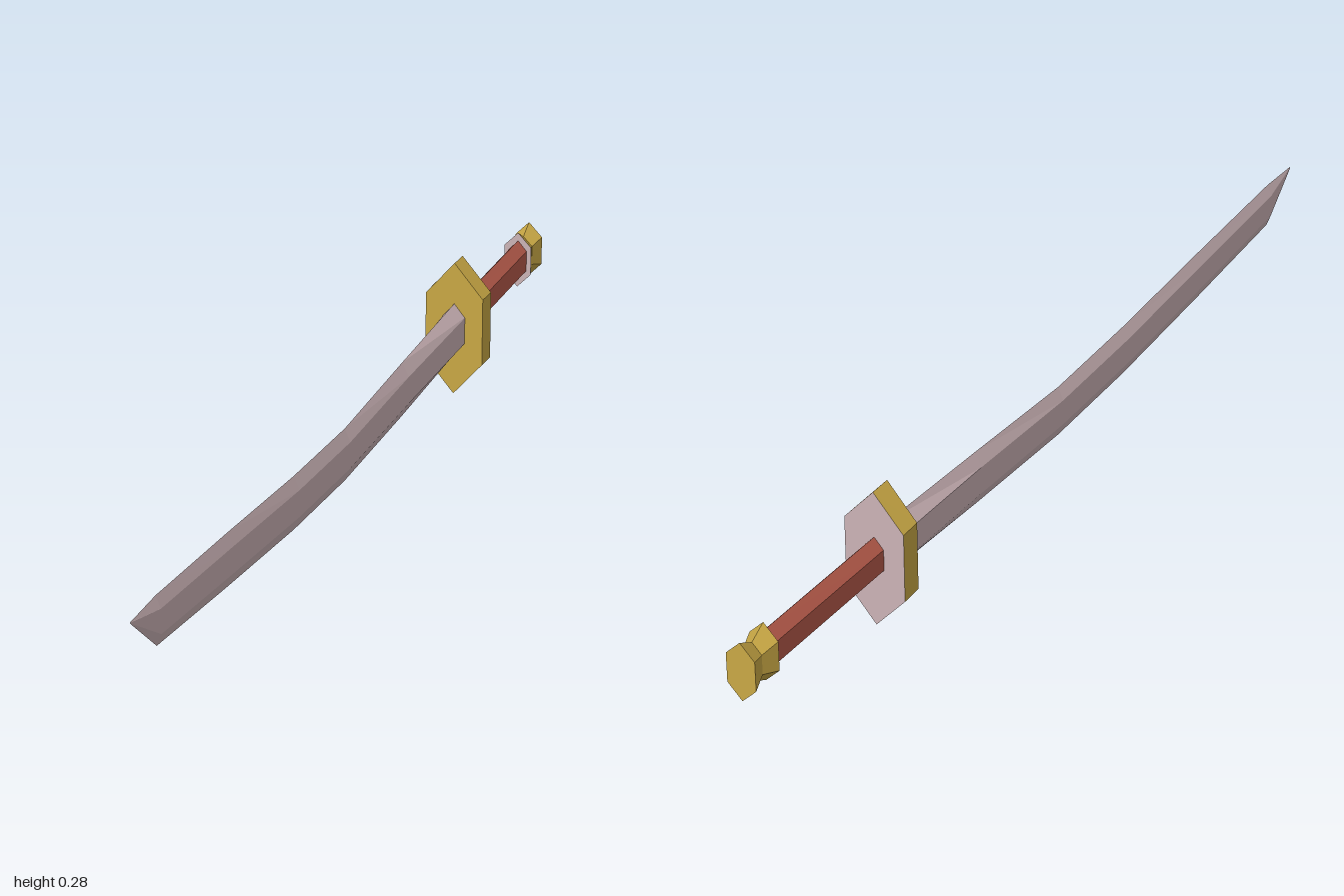
import * as THREE from 'three';

const STEEL = 0xcbb3b6, GOLD = 0xc9a845, RED = 0xb55a4a;

// Upright hexagon with a point at top and bottom; section = [z, yBottom, yTop, halfWidth]
function hexRing([z, y0, y1, w], shoulder) {
  const h = (y1 - y0) * shoulder;
  return [[0, y0], [w, y0 + h], [w, y1 - h], [0, y1], [-w, y1 - h], [-w, y0 + h]]
    .map(([x, y]) => [x, y, z]);
}

// Skin hexagonal sections listed from back (-z) to front (+z), with optional end caps
function loft(name, color, sections, { shoulder = 0.25, back = true, front = true } = {}) {
  const rings = sections.map((s) => hexRing(s, shoulder));
  const pos = [];
  const tri = (a, b, c) => pos.push(...a, ...b, ...c);
  for (let i = 0; i < rings.length - 1; i++) {
    for (let k = 0; k < 6; k++) {
      const n = (k + 1) % 6, r = rings[i], s = rings[i + 1];
      tri(r[k], r[n], s[n]);
      tri(r[k], s[n], s[k]);
    }
  }
  const first = rings[0], last = rings[rings.length - 1];
  for (let k = 1; k < 5; k++) {
    if (back) tri(first[0], first[k + 1], first[k]);
    if (front) tri(last[0], last[k], last[k + 1]);
  }
  const geo = new THREE.BufferGeometry();
  geo.setAttribute('position', new THREE.Float32BufferAttribute(pos, 3));
  geo.computeVertexNormals();
  const mesh = new THREE.Mesh(geo, new THREE.MeshStandardMaterial({ color, flatShading: true }));
  mesh.name = name;
  return mesh;
}

export function createModel() {
  const model = new THREE.Group();
  model.name = 'curvedSword';

  // Curved blade, thinning toward a slanted point
  model.add(loft('blade', STEEL, [
    [-0.55, 0.083, 0.193, 0.023],
    [-0.25, 0.065, 0.176, 0.014],
    [0.05, 0.052, 0.157, 0.011],
    [0.3, 0.058, 0.163, 0.011],
    [0.6, 0.078, 0.18, 0.01],
    [0.9, 0.101, 0.194, 0.009],
    [1, 0.187, 0.19, 0.0005],
  ]));

  // Guard with a steel plate on its rear face
  const guardBack = [-0.588, 0, 0.278, 0.061], guardFront = [-0.542, 0, 0.278, 0.06];
  model.add(loft('guard', GOLD, [guardBack, guardFront], { back: false }));
  model.add(loft('guardRearPlate', STEEL, [guardBack], { front: false }));

  // Grip
  model.add(loft('grip', RED, [
    [-0.94, 0.108, 0.194, 0.019],
    [-0.58, 0.1, 0.185, 0.019],
  ]));

  // Waisted pommel with a steel plate facing the grip
  const pommelFront = [-0.93, 0.092, 0.211, 0.029];
  model.add(loft('pommel', GOLD, [
    [-1, 0.092, 0.211, 0.029],
    [-0.965, 0.112, 0.191, 0.019],
    pommelFront,
  ], { front: false }));
  model.add(loft('pommelFrontPlate', STEEL, [pommelFront], { back: false }));

  return model;
}
